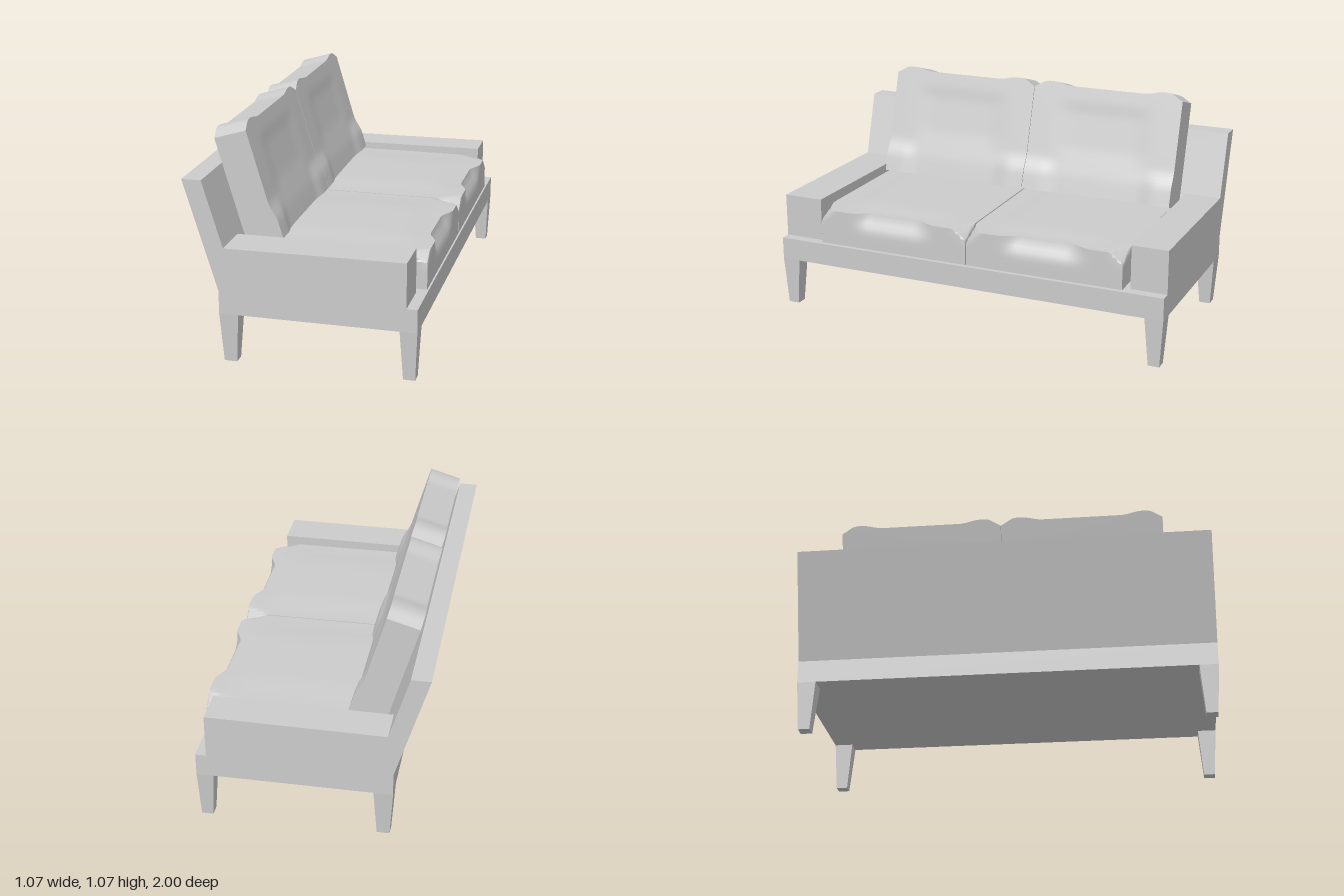
import * as THREE from 'three';
import { toCreasedNormals } from 'three/addons/utils/BufferGeometryUtils.js';

const mat = new THREE.MeshStandardMaterial({ color: 0xcccccc });

function add(parent, name, geometry) {
  const mesh = new THREE.Mesh(geometry, mat);
  mesh.name = name;
  parent.add(mesh);
  return mesh;
}

// Side outline in x/y, extruded between two z positions
function slab(points, z0, z1) {
  const shape = new THREE.Shape(points.map(([x, y]) => new THREE.Vector2(x, y)));
  return new THREE.ExtrudeGeometry(shape, { depth: z1 - z0, bevelEnabled: false }).translate(0, 0, z0);
}

const block = (x0, x1, y0, y1, z0, z1) => slab([[x0, y0], [x1, y0], [x1, y1], [x0, y1]], z0, z1);

// Subdivided box whose vertices are moved by a rule
function softBox(size, segments, rule) {
  const geometry = new THREE.BoxGeometry(...size, ...segments);
  const pos = geometry.attributes.position;
  const p = new THREE.Vector3();
  for (let i = 0; i < pos.count; i++) {
    p.fromBufferAttribute(pos, i);
    rule(p);
    pos.setXYZ(i, p.x, p.y, p.z);
  }
  return toCreasedNormals(geometry, 0.5);
}

const smooth = THREE.MathUtils.smoothstep;

// Seat cushion: crowned top, hollow in the upper front edge, cut front corners
function seatCushion(width) {
  const L = 0.82, H = 0.173;
  return softBox([L, H, width], [28, 8, 32], (p) => {
    const a = L / 2 - p.x, b = H / 2 - p.y, c = width / 2 - Math.abs(p.z);
    const u = p.x / L + 0.5, v = p.y / H + 0.5;
    const front = smooth(u, 0.8, 1), top = smooth(v, 0.45, 1);
    p.x -= 0.04 * front * top * smooth(c, 0.16, 0.27);
    p.y += 0.01 * v * smooth(c, 0, 0.25) * smooth(a, 0, 0.2);
    const k = 1 - (a / 0.12 + b / 0.055 + c / 0.065);
    if (k > 0) {
      const n = [1 / 0.12, 1 / 0.055, 1 / 0.065];
      const s = k / (n[0] ** 2 + n[1] ** 2 + n[2] ** 2);
      p.x -= s * n[0];
      p.y -= s * n[1];
      p.z -= Math.sign(p.z) * s * n[2];
    }
  });
}

// Back cushion: wavy top edge with lowered corners, fuller at the lower front
function backCushion(width) {
  const T = 0.157, L = 0.561;
  return softBox([T, L, width], [6, 24, 40], (p) => {
    const c = width / 2 - Math.abs(p.z);
    const u = p.x / T + 0.5, h = p.y + L / 2;
    const edge = 0.04 * (1 - smooth(c, -0.02, 0.075)) + 0.016 * smooth(c, 0.1, 0.2);
    p.y -= edge * smooth(h, L - 0.2, L);
    const side = 1 - smooth(c, 0.08, 0.18);
    p.x += u * (1 - smooth(h, 0.08, 0.18)) * (0.006 + 0.014 * side);
    p.x -= u * 0.006 * smooth(c, 0.1, 0.25) * smooth(h, 0.15, 0.25) * (1 - smooth(h, 0.4, 0.5));
  }).translate(T / 2, L / 2, 0);
}

// Square leg tapering downwards
function legGeometry(top, bottom) {
  const geometry = new THREE.BoxGeometry(1, 0.235, 1);
  const pos = geometry.attributes.position;
  for (let i = 0; i < pos.count; i++) {
    const r = pos.getY(i) > 0 ? top : bottom;
    pos.setX(i, pos.getX(i) > 0 ? r[1] : r[0]);
    pos.setZ(i, pos.getZ(i) > 0 ? r[3] : r[2]);
  }
  geometry.translate(0, 0.1175, 0);
  geometry.computeVertexNormals();
  return geometry;
}

export function createModel() {
  const sofa = new THREE.Group();
  sofa.name = 'sofa';

  // Frame
  add(sofa, 'base', block(-0.38, 0.535, 0.235, 0.345, -1, 1));
  add(sofa, 'backrest', slab([[-0.38, 0.345], [-0.29, 0.345], [-0.447, 0.86], [-0.538, 0.86]], -1, 1));
  const armOutline = [[-0.29, 0.345], [0.485, 0.345], [0.485, 0.557], [-0.354, 0.55]];
  add(sofa, 'leftArm', slab(armOutline, -1, -0.823));
  add(sofa, 'rightArm', slab(armOutline, 0.8, 1));

  // Legs
  for (const side of [1, -1]) {
    const z = side > 0 ? [0.91, 1, 0.93, 0.985] : [-1, -0.91, -0.985, -0.93];
    add(sofa, 'backLeg', legGeometry([-0.38, -0.29, z[0], z[1]], [-0.365, -0.305, z[2], z[3]]));
    add(sofa, 'frontLeg', legGeometry([0.455, 0.535, z[0], z[1]], [0.47, 0.525, z[2], z[3]]));
  }

  // Cushions
  for (const z of [0.381, -0.407]) {
    add(sofa, 'seatCushion', seatCushion(0.782)).position.set(0.12, 0.4385, z);
    const back = add(sofa, 'backCushion', backCushion(0.786));
    back.position.set(-0.311, 0.487, z);
    back.rotation.z = 0.288;
  }
  return sofa;
}
